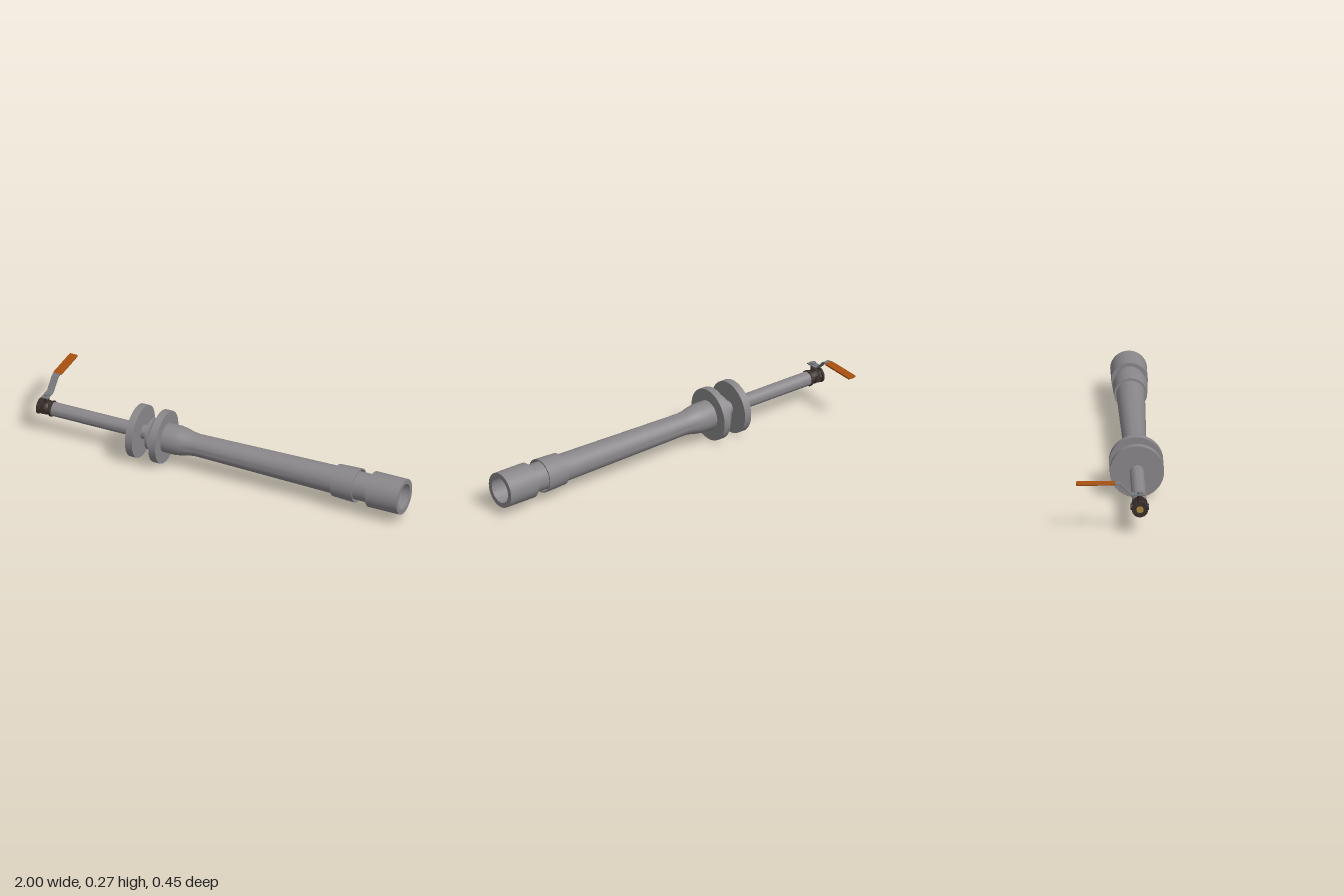
import * as THREE from 'three';
import { toCreasedNormals } from 'three/addons/utils/BufferGeometryUtils.js';

const AXIS_Y = 0.136, AXIS_Z = 0.092;

export function createModel() {
  const model = new THREE.Group();
  model.name = 'pipeAssembly';
  const material = (name, color) => {
    const m = new THREE.MeshStandardMaterial({ color });
    m.name = name;
    return m;
  };
  const steel = material('grey steel', 0x8a878a);
  const bronze = material('dark bronze', 0x3a302c);
  const leverMetal = material('lever metal', 0x77797c);
  const gripOrange = material('orange grip', 0xa8500f);
  const brass = material('brass', 0xa88a3c);

  const add = (name, geometry, mat, parent = model) => {
    const mesh = new THREE.Mesh(geometry, mat);
    mesh.name = name;
    parent.add(mesh);
    return mesh;
  };

  // Everything on the pipe axis is turned from [x, radius] profiles
  const turned = (name, profile, mat = steel, sides = 40) => {
    const points = profile.map(([x, r]) => new THREE.Vector2(r, x));
    const geometry = toCreasedNormals(new THREE.LatheGeometry(points, sides), 0.6);
    geometry.rotateZ(-Math.PI / 2);
    const mesh = add(name, geometry, mat);
    mesh.position.set(0, AXIS_Y, AXIS_Z);
    return mesh;
  };
  const disc = (name, x0, x1, r, mat, sides) =>
    turned(name, [[x0, 0], [x0, r], [x1, r], [x1, 0]], mat, sides);

  // Narrow inlet pipe, flange pair and the plate between them
  disc('inletPipe', -0.925, -0.33, 0.036);
  disc('inletFlange', -0.468, -0.43, 0.135);
  disc('orificePlate', -0.388, -0.374, 0.08);
  disc('bodyFlange', -0.34, -0.302, 0.135);

  // Throat and long diffuser, running on into the sleeve
  turned('diffuser', [[-0.31, 0], [-0.31, 0.075], [-0.235, 0.075], [-0.205, 0.07],
    [-0.165, 0.061], [-0.135, 0.057], [0.635, 0.071], [0.635, 0]]);

  // Belled sleeve, open round the outlet pipe
  turned('sleeve', [[0.63, 0.068], [0.63, 0.082], [0.69, 0.085], [0.752, 0.087],
    [0.752, 0.08], [0.69, 0.072]]);

  // Outlet pipe and end coupling with an open bore
  turned('outletPipe', [[0.64, 0.066], [0.64, 0.072], [0.83, 0.072]]);
  turned('endCoupling', [[0.826, 0.07], [0.826, 0.091], [1, 0.091], [1, 0.066],
    [0.63, 0.066], [0.63, 0]]);

  // Ball valve: two end collars with hexagonal nuts around a rounded body
  disc('valveOuterCollar', -1, -0.991, 0.041, bronze, 24);
  disc('valveInnerCollar', -0.932, -0.922, 0.041, bronze, 24);
  disc('valveOuterNut', -0.992, -0.979, 0.034, bronze, 6);
  disc('valveInnerNut', -0.945, -0.931, 0.034, bronze, 6);
  turned('valveBody', [[-0.985, 0], [-0.985, 0.026], [-0.974, 0.034], [-0.96, 0.037],
    [-0.946, 0.034], [-0.935, 0.026], [-0.935, 0]], bronze, 24);
  disc('valvePort', -1.001, -0.998, 0.018, brass, 24);
  for (const side of [1, -1]) {
    const boss = add('valveSideBoss', new THREE.CylinderGeometry(0.016, 0.016, 0.014, 16), bronze);
    boss.rotation.x = Math.PI / 2;
    boss.position.set(-0.96, AXIS_Y, AXIS_Z + side * 0.038);
  }

  // Stem and its nut
  const stem = add('valveStem', new THREE.CylinderGeometry(0.012, 0.015, 0.05, 16), bronze);
  stem.position.set(-0.96, 0.185, AXIS_Z);
  const nut = add('stemNut', new THREE.CylinderGeometry(0.014, 0.014, 0.012, 6), leverMetal);
  nut.position.set(-0.96, 0.209, AXIS_Z);

  // Lever: a bent strip, drawn in profile with its length running to the back
  const handle = new THREE.Group();
  handle.name = 'valveHandle';
  handle.position.x = -0.96;
  model.add(handle);
  const bend = [[-0.118, 0.2], [-0.058, 0.2], [-0.046, 0.204], [0.006, 0.255],
    [0.016, 0.2595], [0.2, 0.2595]];
  const t = 0.006;
  const strip = new THREE.Shape([
    ...bend.map(([x, y]) => new THREE.Vector2(x, y)),
    ...bend.slice().reverse().map(([x, y], i) =>
      new THREE.Vector2(x - (i === 1 || i === 2 ? 0.003 : 0), y + t)),
  ]);
  const stripGeometry = new THREE.ExtrudeGeometry(strip, { depth: 0.036, bevelEnabled: false });
  stripGeometry.translate(0, 0, -0.018).rotateY(Math.PI / 2);
  add('lever', stripGeometry, leverMetal, handle);

  // Flat grip with rounded corners
  const w = 0.022, z0 = 0.03, z1 = 0.225, c = 0.008;
  const outline = new THREE.Shape();
  outline.moveTo(-w + c, z0);
  outline.lineTo(w - c, z0);
  outline.quadraticCurveTo(w, z0, w, z0 + c);
  outline.lineTo(w, z1 - c);
  outline.quadraticCurveTo(w, z1, w - c, z1);
  outline.lineTo(-w + c, z1);
  outline.quadraticCurveTo(-w, z1, -w, z1 - c);
  outline.lineTo(-w, z0 + c);
  outline.quadraticCurveTo(-w, z0, -w + c, z0);
  const gripGeometry = new THREE.ExtrudeGeometry(outline, {
    depth: 0.006, bevelThickness: 0.002, bevelSize: 0.002, bevelOffset: -0.002, bevelSegments: 2,
  });
  gripGeometry.rotateX(-Math.PI / 2).translate(0, 0.2595, 0);
  add('grip', gripGeometry, gripOrange, handle);

  return model;
}
